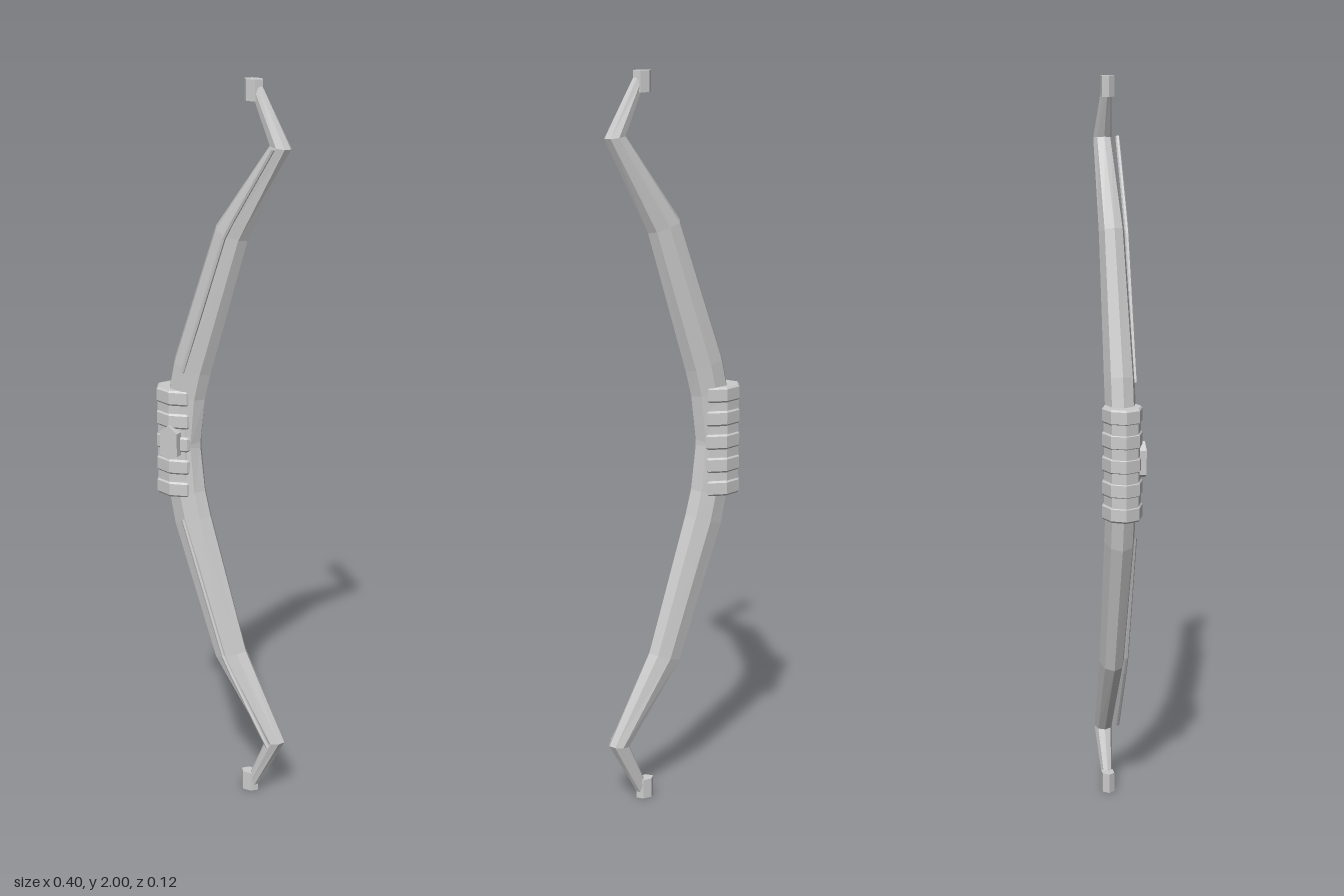
import * as THREE from 'three';

const material = new THREE.MeshStandardMaterial({ color: 0xcccccc, flatShading: true });
const CZ = -0.004; // depth of the bow's centre plane

function add(parent, name, geometry, x = 0, y = 0, z = 0) {
  const mesh = new THREE.Mesh(geometry, material);
  mesh.name = name;
  mesh.position.set(x, y, z);
  parent.add(mesh);
  return mesh;
}

// Lofts eight-sided rings; each station: left x, left y, right x, right y, half depth
function limbGeometry(stations, sides = 8) {
  const pos = [], idx = [];
  for (const [lx, ly, rx, ry, hz] of stations) {
    for (let i = 0; i < sides; i++) {
      const a = (i / sides) * Math.PI * 2, t = (1 + Math.cos(a)) / 2;
      pos.push(lx + (rx - lx) * t, ly + (ry - ly) * t, CZ - Math.sin(a) * hz);
    }
  }
  for (let s = 0; s < stations.length - 1; s++) {
    for (let i = 0; i < sides; i++) {
      const j = (i + 1) % sides;
      const a = s * sides + i, b = s * sides + j;
      idx.push(a, b, b + sides, a, b + sides, a + sides);
    }
  }
  const last = (stations.length - 1) * sides;
  for (let i = 1; i < sides - 1; i++) {
    idx.push(0, i + 1, i, last, last + i, last + i + 1);
  }
  const g = new THREE.BufferGeometry();
  g.setAttribute('position', new THREE.Float32BufferAttribute(pos, 3));
  g.setIndex(idx);
  g.computeVertexNormals();
  return g;
}

export function createModel() {
  const bow = new THREE.Group();
  bow.name = 'bow';

  // Recurved body: upper half from the middle, mirrored about y = 1
  const upper = [
    [-0.165, 1.0, -0.07, 1.0, 0.04],
    [-0.165, 1.15, -0.055, 1.13, 0.041],
    [-0.148, 1.235, -0.038, 1.2, 0.041],
    [-0.02, 1.61, 0.075, 1.58, 0.034],
    [0.14, 1.837, 0.2, 1.83, 0.025],
    [0.09, 1.955, 0.115, 1.985, 0.014],
  ];
  const lower = upper.slice(1).reverse().map(([lx, ly, rx, ry, hz]) => [lx, 2 - ly, rx, 2 - ry, hz]);
  add(bow, 'limbs', limbGeometry([...lower, ...upper]));

  for (const [side, label] of [[1, 'upper'], [-1, 'lower']]) {
    // Hexagonal nock at the tip
    const nock = new THREE.CylinderGeometry(0.0265, 0.0265, 0.055, 6);
    nock.rotateY(Math.PI / 6 + Math.PI / 3);
    nock.scale(1, 1, 0.72);
    add(bow, label + 'Nock', nock, 0.091, 1 + side * 0.9725, CZ);

    // Thin cord in front of the limb
    const path = new THREE.CurvePath();
    const points = [[-0.1, 0.21], [0.03, 0.6], [0.17, 0.835]]
      .map(([x, y]) => new THREE.Vector3(x, 1 + side * y, 0.037));
    path.add(new THREE.LineCurve3(points[0], points[1]));
    path.add(new THREE.LineCurve3(points[1], points[2]));
    add(bow, label + 'Cord', new THREE.TubeGeometry(path, 12, 0.006, 6));
  }

  // Grip: eight-sided core wrapped by five bands
  const grip = new THREE.Group();
  grip.name = 'grip';
  bow.add(grip);
  const core = new THREE.CylinderGeometry(0.062, 0.062, 0.29, 8);
  core.scale(1, 1, 0.8);
  add(grip, 'gripCore', core, -0.139, 1.005, CZ);
  const profile = [[0, -0.021], [0.062, -0.021], [0.067, -0.016], [0.067, 0.016], [0.062, 0.021], [0, 0.021]]
    .map(([r, y]) => new THREE.Vector2(r, y));
  for (let i = 0; i < 5; i++) {
    const band = new THREE.LatheGeometry(profile, 8);
    band.scale(1, 1, 0.81);
    add(grip, 'gripBand', band, -0.136, 1.005 + (i - 2) * 0.065, CZ);
  }

  // Pointed plate on the front of the grip
  const plate = new THREE.Shape([
    [-0.027, -0.035], [0, -0.047], [0.027, -0.035], [0.027, 0.03], [0, 0.05], [-0.027, 0.03],
  ].map(([x, y]) => new THREE.Vector2(x, y)));
  add(grip, 'gripPlate', new THREE.ExtrudeGeometry(plate, { depth: 0.03, bevelEnabled: false }), -0.134, 1.01, 0.027);

  return bow;
}
